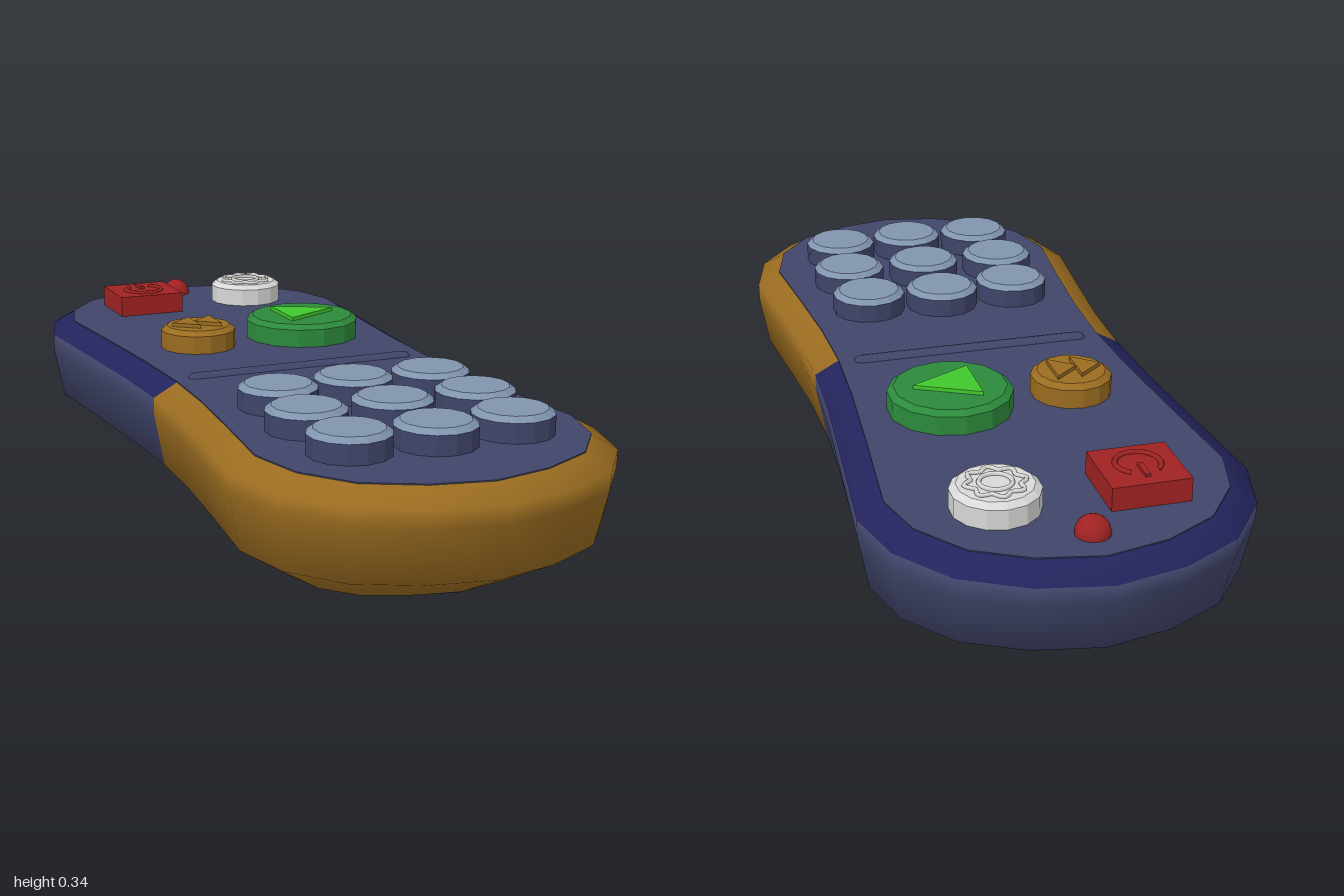
import * as THREE from 'three';

const mat = (name, color) => {
  const m = new THREE.MeshStandardMaterial({ color });
  m.name = name;
  return m;
};

export function createModel() {
  const slate = mat('slate blue', 0x40456a);
  const gold = mat('ochre', 0x9a6c20);
  const indigo = mat('deep indigo', 0x24245e);
  const keyBlue = mat('pale key blue', 0x8094ae);
  const green = mat('green', 0x2c8a3c);
  const lime = mat('bright green', 0x40c82c);
  const red = mat('red', 0xa02222);
  const white = mat('off white', 0xd8d8d6);

  const group = new THREE.Group();
  const add = (name, geometry, material, x = 0, y = 0, z = 0, parent = group) => {
    const mesh = new THREE.Mesh(geometry, material);
    mesh.name = name;
    mesh.position.set(x, y, z);
    parent.add(mesh);
    return mesh;
  };
  const faceted = (g) => {
    const f = g.toNonIndexed();
    f.computeVertexNormals();
    return f;
  };
  // Flat plate lying on the ground plane, drawn from [x, z] points
  const plate = (pts, depth) => new THREE.ExtrudeGeometry(
    new THREE.Shape(pts.map(([x, z]) => new THREE.Vector2(x, -z))),
    { depth, bevelEnabled: false }).rotateX(-Math.PI / 2);

  // Plan outline: one half from the back tip to the front tip, then mirrored
  const half = [[0, -1], [0.15, -0.97], [0.28, -0.9], [0.372, -0.78], [0.41, -0.64],
    [0.39, -0.38], [0.374, -0.15], [0.367, 0.045], [0.373, 0.22], [0.39, 0.42],
    [0.41, 0.63], [0.372, 0.78], [0.28, 0.9], [0.145, 0.97], [0, 1]];
  const H = half.length;
  const outline = [...half, ...half.slice(1, -1).reverse().map(([x, z]) => [-x, z])];
  const N = outline.length;
  const inset = (dx, dz) => outline.map(([x, z], i) => {
    const a = outline[(i + N - 1) % N], b = outline[(i + 1) % N];
    const tx = b[0] - a[0], tz = b[1] - a[1], l = Math.hypot(tx, tz);
    return [x - dx * tz / l, z + dz * tx / l];
  });

  // Shell: rings [y, x inset, z inset] from the underside to the top rim
  const levels = [[0.01, 0.13, 0.17], [0.08, 0.022, 0.04], [0.2, 0, 0.006],
    [0.24, 0, 0], [0.27, 0.055, 0.055]];
  const pos = [];
  const faces = [[], [], []]; // slate, ochre, indigo
  levels.forEach(([y, dx, dz]) => inset(dx, dz).forEach(([x, z]) => pos.push(x, y, z)));
  for (let k = 0; k < levels.length - 1; k++) {
    for (let i = 0; i < N; i++) {
      const j = (i + 1) % N;
      const a = k * N + i, b = k * N + j, c = b + N, d = a + N;
      const front = Math.min(outline[i][1], outline[j][1]) > 0.04;
      faces[front ? 1 : k === 3 ? 2 : 0].push(a, d, c, a, c, b);
    }
  }
  // Slightly bowed underside with a centre line
  const keel = pos.length / 3;
  for (let i = 0; i < H; i++) {
    const end = i === 0 || i === H - 1;
    pos.push(0, end ? 0.01 : 0, pos[i * 3 + 2]);
  }
  for (let i = 0; i < H - 1; i++) {
    const c = keel + i, r = i, r2 = i + 1, l = (N - i) % N, l2 = N - i - 1;
    faces[0].push(c, r, r2, c, r2, c + 1, c, l2, l, c, c + 1, l2);
  }
  const shell = new THREE.BufferGeometry();
  shell.setAttribute('position', new THREE.Float32BufferAttribute(pos, 3));
  shell.setIndex(faces.flat());
  let start = 0;
  faces.forEach((f, i) => {
    shell.addGroup(start, f.length, i);
    start += f.length;
  });
  shell.computeVertexNormals();
  add('shell', shell, [slate, gold, indigo]);

  // Top panel and the small ridge across its waist
  add('topPanel', plate(inset(0.055, 0.055), 0.01), slate, 0, 0.2625, 0);
  const ridge = new THREE.CapsuleGeometry(0.02, 0.52, 4, 12).rotateZ(Math.PI / 2);
  add('waistRidge', ridge, slate, 0, 0.264, 0.028);

  // Round button: straight body with a bevelled cap
  const button = (name, x, z, r, body, cap) => {
    const g = new THREE.Group();
    g.name = name;
    g.position.set(x, 0.265, z);
    group.add(g);
    add('buttonBody', faceted(new THREE.CylinderGeometry(r, r, 0.05, 14)), body, 0, 0.025, 0, g);
    add('buttonCap', faceted(new THREE.CylinderGeometry(r - 0.014, r, 0.011, 14)), cap, 0, 0.0555, 0, g);
    return g;
  };

  // Keypad of nine keys, bulging slightly at the middle of each side
  for (let row = -1; row <= 1; row++) {
    for (let col = -1; col <= 1; col++) {
      const x = col * (row ? 0.181 : 0.194);
      const z = 0.504 + row * (col ? 0.181 : 0.194);
      button('keypadKey', x, z, 0.087, slate, keyBlue);
    }
  }

  // Play button
  const play = button('playButton', 0.125, -0.265, 0.138, green, green);
  add('playTriangle', plate([[-0.055, -0.07], [-0.055, 0.07], [0.083, 0]], 0.009), lime, 0, 0.061, 0, play);

  // Rewind button
  const rewind = button('rewindButton', -0.152, -0.255, 0.09, gold, gold);
  for (const x of [-0.066, -0.012]) {
    add('rewindTriangle', plate([[0, 0], [0.056, 0.046], [0.056, -0.046]], 0.009), gold, x, 0.061, 0, rewind);
  }

  // Settings button with a toothed ring
  const settings = button('settingsButton', 0.15, -0.715, 0.092, white, white);
  const teeth = [];
  for (let i = 0; i < 32; i++) {
    const a = i / 32 * Math.PI * 2, r = 0.056 + 0.007 * Math.cos(a * 8);
    teeth.push(new THREE.Vector3(r * Math.cos(a), 0, r * Math.sin(a)));
  }
  const gear = new THREE.TubeGeometry(new THREE.CatmullRomCurve3(teeth, true), 64, 0.005, 6, true);
  add('gearRim', gear, white, 0, 0.063, 0, settings);
  add('gearHub', new THREE.TorusGeometry(0.033, 0.005, 6, 24).rotateX(Math.PI / 2), white, 0, 0.063, 0, settings);

  // Square power button with its ring and bar
  const power = new THREE.Group();
  power.name = 'powerButton';
  power.position.set(-0.144, 0.265, -0.712);
  group.add(power);
  add('powerBody', new THREE.BoxGeometry(0.166, 0.058, 0.16), red, 0, 0.029, 0, power);
  const ring = new THREE.TorusGeometry(0.046, 0.006, 6, 24, Math.PI * 1.6)
    .rotateZ(Math.PI * 0.7).rotateX(-Math.PI / 2);
  add('powerRing', ring, red, 0, 0.059, 0.006, power);
  add('powerBar', new THREE.BoxGeometry(0.011, 0.008, 0.05), red, 0, 0.061, -0.028, power);

  // Indicator light
  add('indicatorLight', new THREE.SphereGeometry(0.036, 16, 12), red, 0, 0.275, -0.86);

  return group;
}
